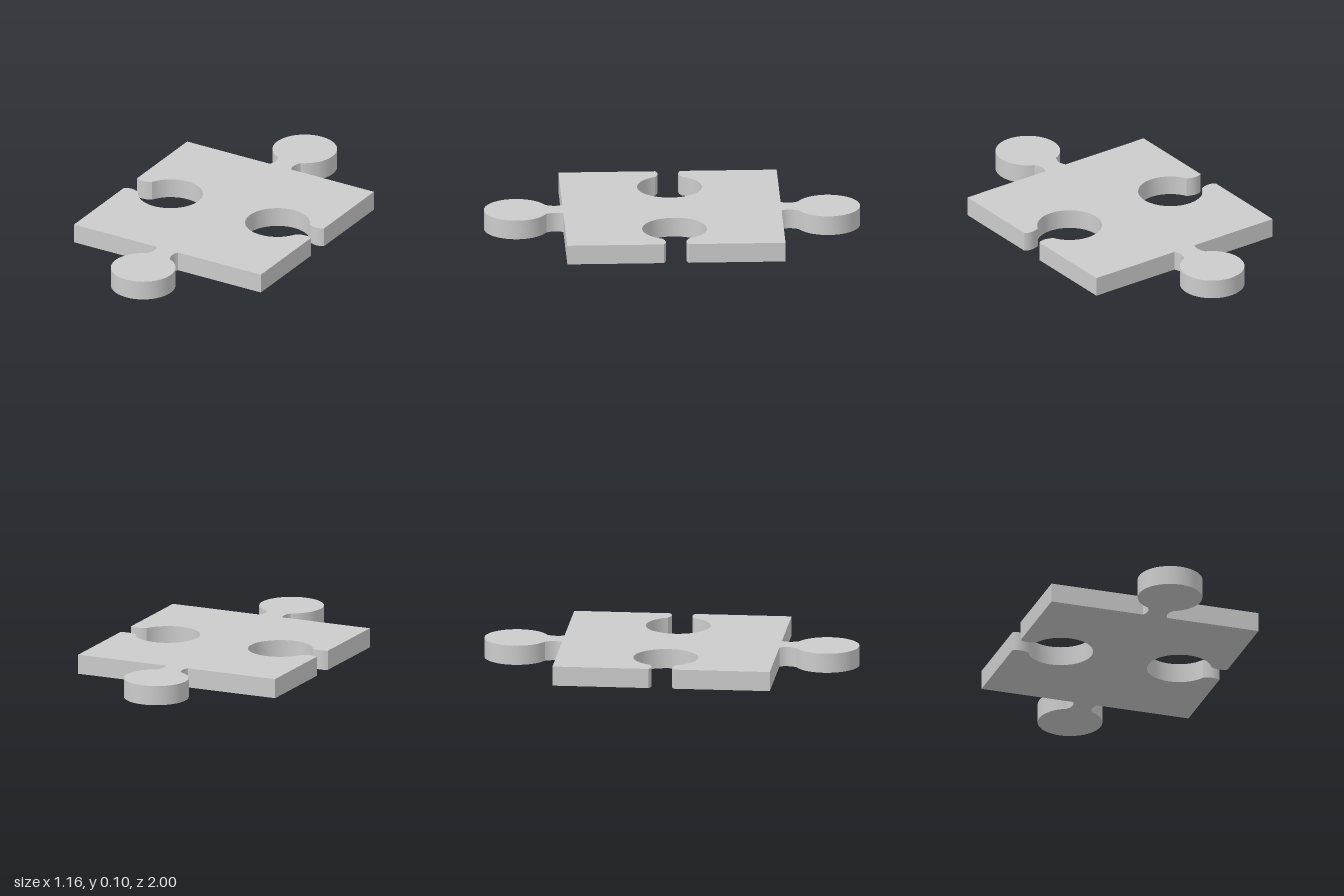
import * as THREE from 'three';
import { toCreasedNormals } from 'three/addons/utils/BufferGeometryUtils.js';

const HALF = 0.58;      // half side of the square body
const HEIGHT = 0.105;
const KNOB_R = 0.172;   // round head of a tab or socket
const KNOB_D = 0.248;   // distance of the head's centre from the body edge
const NECK = 0.07;      // half width where the neck meets the head

// Tab outline as [along the edge, away from the edge], from one neck root to the other
function tabProfile() {
  const start = Math.asin(NECK / KNOB_R);
  const joinD = KNOB_D - KNOB_R * Math.cos(start);
  const neck = new THREE.QuadraticBezierCurve(
    new THREE.Vector2(-0.067, 0), new THREE.Vector2(-0.0415, 0.04), new THREE.Vector2(-NECK, joinD)
  ).getPoints(8);
  const points = neck.map((p) => [p.x, p.y]);
  const steps = 48;
  for (let i = 1; i < steps; i++) {
    const a = start + (i / steps) * 2 * (Math.PI - start);
    points.push([-KNOB_R * Math.sin(a), KNOB_D - KNOB_R * Math.cos(a)]);
  }
  neck.reverse().forEach((p) => points.push([-p.x, p.y]));
  return points;
}

export function createModel() {
  const profile = tabProfile();
  const outline = [];

  // Four sides, counter-clockwise: sockets left and right, tabs front and back
  for (let side = 0; side < 4; side++) {
    const sign = side % 2 === 0 ? 1 : -1;
    const turn = side * Math.PI / 2;
    const add = (along, out) => outline.push(
      new THREE.Vector2(along, -HALF - out).rotateAround(new THREE.Vector2(), turn)
    );
    add(-HALF, 0);
    profile.forEach(([along, out]) => add(along, sign * out));
  }

  const extruded = new THREE.ExtrudeGeometry(new THREE.Shape(outline), {
    depth: HEIGHT, bevelEnabled: false,
  });
  extruded.rotateX(-Math.PI / 2);

  const piece = new THREE.Mesh(
    toCreasedNormals(extruded, Math.PI / 6),
    new THREE.MeshStandardMaterial({ color: 0xcccccc })
  );
  piece.name = 'puzzlePiece';

  const group = new THREE.Group();
  group.name = 'jigsawPiece';
  group.add(piece);
  return group;
}
